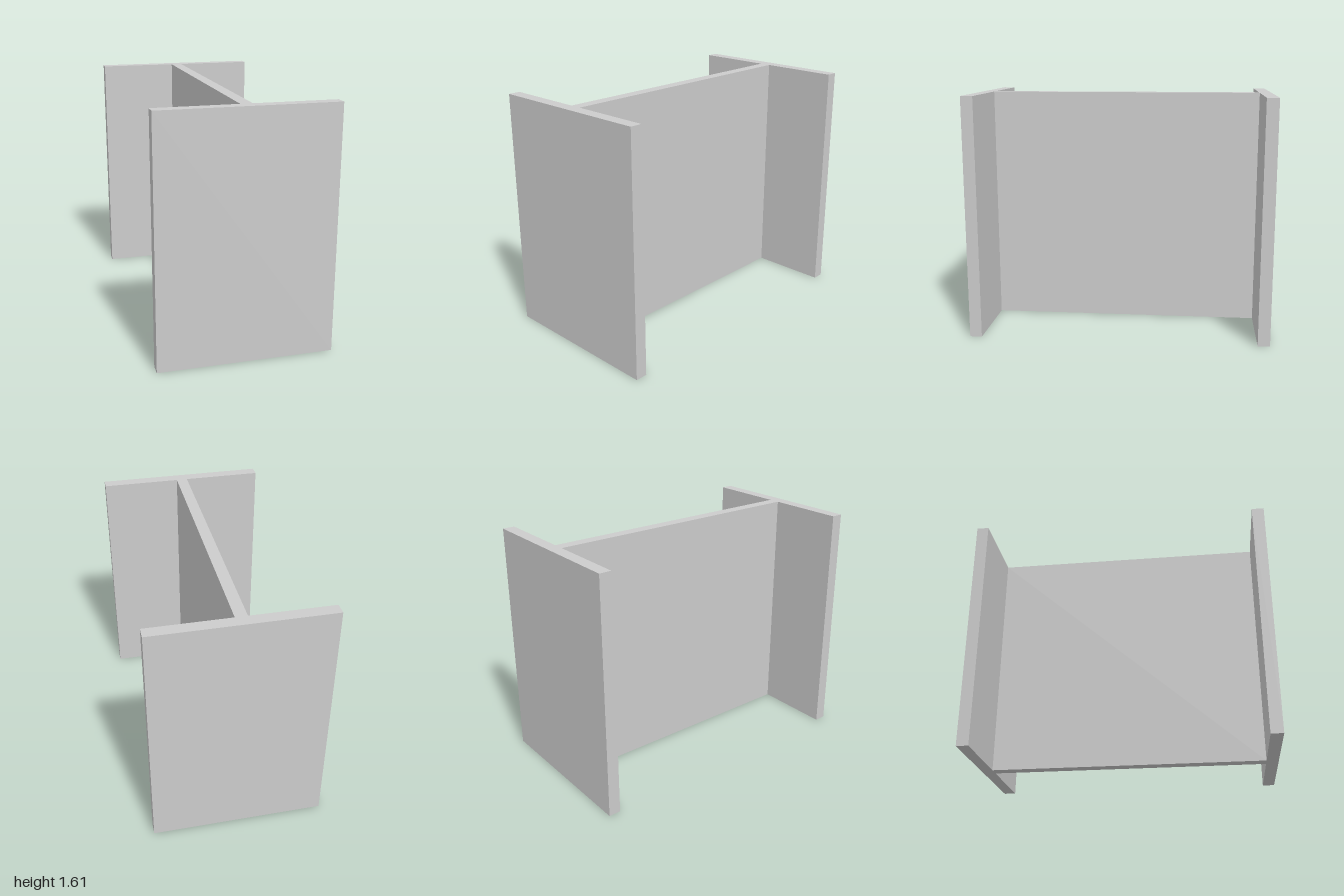
import * as THREE from 'three';

const HEIGHT = 1.61;
const HALF_WIDTH = 0.57;
const HALF_DEPTH = 1;
const FLANGE = 0.08; // flange thickness
const HALF_WEB = 0.038; // half the web thickness

export function createModel() {
  const group = new THREE.Group();
  group.name = 'beamSection';

  // I-shaped cross-section: one quarter outline, mirrored to the other three
  const inner = HALF_DEPTH - FLANGE;
  const right = [
    [HALF_WEB, -inner], [HALF_WIDTH, -inner], [HALF_WIDTH, -HALF_DEPTH],
  ].reverse();
  right.push(...right.map(([x, y]) => [x, -y]).reverse());
  const left = right.map(([x, y]) => [-x, y]).reverse();
  const profile = new THREE.Shape([...right, ...left].map(([x, y]) => new THREE.Vector2(x, y)));

  // Extrude the section upwards from the ground
  const geometry = new THREE.ExtrudeGeometry(profile, { depth: HEIGHT, bevelEnabled: false });
  geometry.rotateX(-Math.PI / 2);

  const beam = new THREE.Mesh(geometry, new THREE.MeshStandardMaterial({ color: 0xcccccc }));
  beam.name = 'iBeam';
  group.add(beam);
  return group;
}
